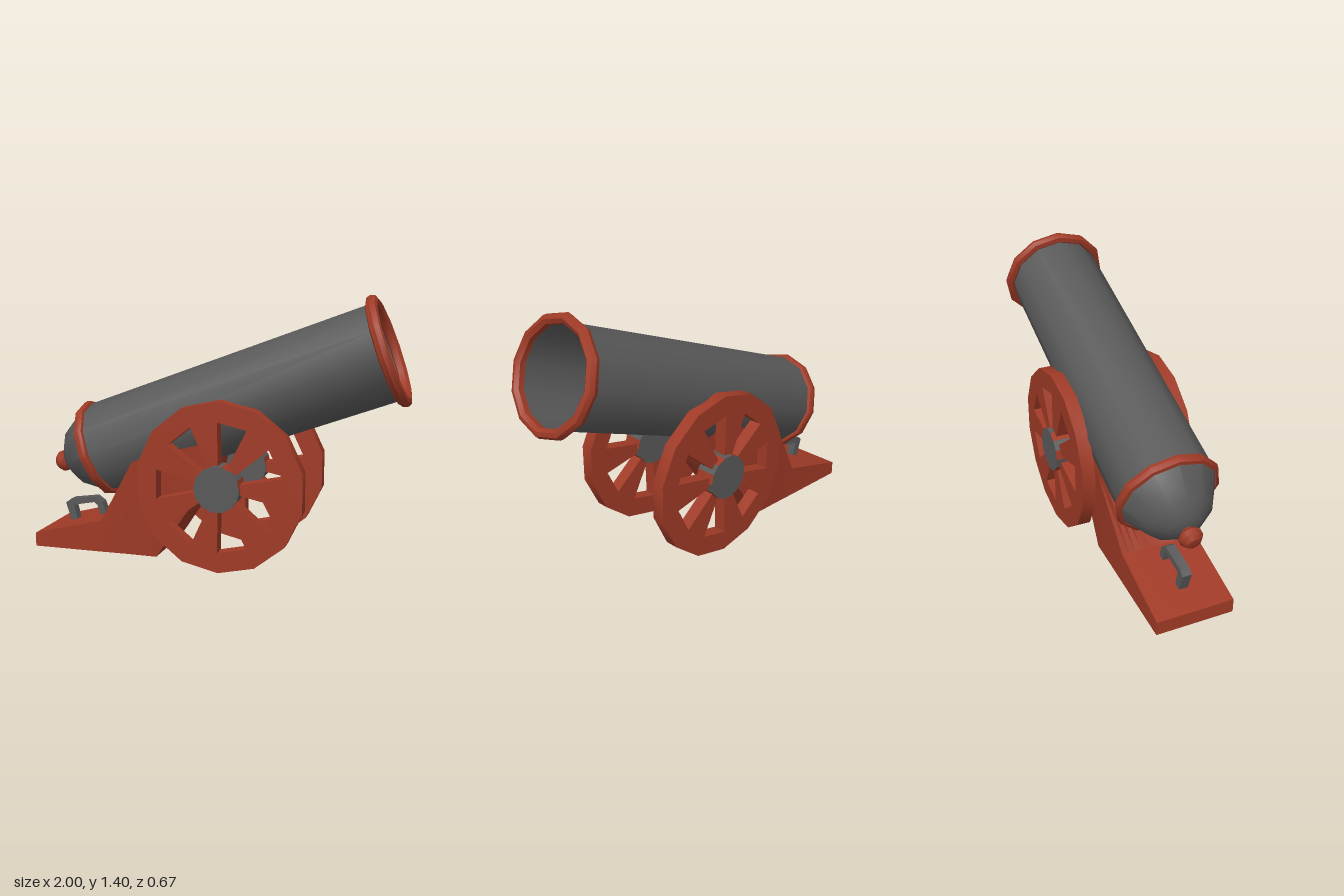
import * as THREE from 'three';
import { toCreasedNormals } from 'three/addons/utils/BufferGeometryUtils.js';

const red = new THREE.MeshStandardMaterial({ color: 0x9f3a26, side: THREE.DoubleSide });
const grey = new THREE.MeshStandardMaterial({ color: 0x595959, side: THREE.DoubleSide });

const TILT = 0.356; // barrel elevation
const BREECH = new THREE.Vector2(-0.665, 0.555); // barrel axis at the rear ring
const BORE = 0.252;

function part(parent, name, geometry, material, crease = 0.6) {
  const mesh = new THREE.Mesh(toCreasedNormals(geometry, crease), material);
  mesh.name = name;
  parent.add(mesh);
  return mesh;
}

function lathe(points) {
  return new THREE.LatheGeometry(points.map(([r, t]) => new THREE.Vector2(r, t)), 12);
}

function polygon(points) {
  return points.map(([x, y]) => new THREE.Vector2(x, y));
}

// Tilted tube with breech, knob and two bands; local y runs along the bore
function createBarrel() {
  const barrel = new THREE.Group();
  barrel.name = 'barrel';
  part(barrel, 'barrelTube', lathe([[BORE, 0], [BORE, 1.65]]), grey);
  part(barrel, 'breech', lathe([[0, -0.235], [0.085, -0.215], [0.165, -0.157], [BORE, -0.015], [BORE, 0]]), grey);
  part(barrel, 'rearBand', lathe([[0.25, -0.03], [0.268, -0.025], [0.274, 0], [0.268, 0.018], [0.25, 0.022]]), red);
  part(barrel, 'muzzleRing', lathe([
    [0.242, 1.635], [0.262, 1.62], [0.285, 1.627], [0.294, 1.65],
    [0.284, 1.674], [0.262, 1.68], [0.242, 1.665], [0.242, 1.635],
  ]), red);
  part(barrel, 'knob', lathe([
    [0.03, -0.21], [0.035, -0.232], [0.058, -0.25], [0.058, -0.275], [0.035, -0.302], [0, -0.308],
  ]), red);
  barrel.position.set(BREECH.x, BREECH.y, 0);
  barrel.rotation.z = TILT - Math.PI / 2;
  return barrel;
}

// Wooden bed lofted along x; its top is hollowed to cradle the barrel
function carriageGeometry() {
  // top x, top y, top half width, bottom x, bottom y
  const stations = [
    [-1, 0.09, 0.205, -1, 0.015],
    [-0.6, 0.195, 0.205, -0.6, 0.018],
    [-0.4, 0.54, 0.245, -0.45, 0.02],
    [-0.3, 0.575, 0.245, -0.285, 0.02],
    [-0.1, 0.63, 0.225, -0.16, 0.21],
    [0.03, 0.66, 0.205, -0.03, 0.4],
  ];
  const n = 12, ring = 2 * (n + 1);
  const positions = [], index = [];
  const quad = (a, b, c, d) => index.push(a, b, c, a, c, d);
  for (const [tx, ty, w, bx, by] of stations) {
    const axisY = BREECH.y + (tx - BREECH.x) * Math.tan(TILT);
    for (let j = 0; j <= n; j++) {
      const z = w * (1 - 2 * j / n);
      const under = axisY - Math.sqrt(BORE * BORE - z * z) / Math.cos(TILT);
      positions.push(tx, Math.min(ty, under), z);
    }
    for (let j = n; j >= 0; j--) positions.push(bx, by, 0.205 * (1 - 2 * j / n));
  }
  for (let i = 0; i < stations.length - 1; i++) {
    for (let k = 0; k < ring; k++) {
      const a = i * ring + k, b = i * ring + (k + 1) % ring;
      quad(a, a + ring, b + ring, b);
    }
  }
  const last = (stations.length - 1) * ring;
  for (let j = 0; j < n; j++) {
    const low = ring - 1 - j;
    quad(j, j + 1, low - 1, low);
    quad(last + j, last + low, last + low - 1, last + j + 1);
  }
  const geometry = new THREE.BufferGeometry();
  geometry.setAttribute('position', new THREE.Float32BufferAttribute(positions, 3));
  geometry.setIndex(index);
  return geometry;
}

// Fourteen-sided wheel with seven wedge spokes and a banded hub; outer side faces +z
function createWheel(name) {
  const wheel = new THREE.Group();
  wheel.name = name;
  const rim = new THREE.Shape();
  const step = Math.PI / 7;
  rim.setFromPoints(Array.from({ length: 14 }, (_, i) =>
    new THREE.Vector2(0.443 * Math.sin(i * step), 0.443 * Math.cos(i * step))));
  for (let i = 0; i < 7; i++) {
    const angle = Math.PI + i * 2 * step;
    const corners = polygon([[0.105, -0.022], [0.328, -0.078], [0.328, 0.078], [0.105, 0.022]]);
    corners.forEach((p) => p.rotateAround(new THREE.Vector2(), angle));
    rim.holes.push(new THREE.Path(corners));
  }
  const disc = new THREE.ExtrudeGeometry(rim, { depth: 0.07, bevelEnabled: false });
  disc.translate(0, 0, -0.035);
  part(wheel, 'rimAndSpokes', disc, red);

  for (const z of [-0.05, 0.06]) {
    const cap = part(wheel, 'hubCap', new THREE.CircleGeometry(0.12, 14), grey);
    cap.position.z = z;
    if (z < 0) cap.rotation.y = Math.PI;
  }
  for (let i = 0; i < 14; i++) {
    const side = new THREE.CylinderGeometry(0.12, 0.12, 0.11, 1, 1, true, (i + 0.5) * step, step);
    side.rotateX(Math.PI / 2);
    side.translate(0, 0, 0.005);
    part(wheel, 'hubSide', side, i % 2 ? red : grey);
  }
  return wheel;
}

export function createModel() {
  const model = new THREE.Group();
  model.name = 'cannon';
  model.add(createBarrel());
  part(model, 'carriage', carriageGeometry(), red, 0.35);

  // Lifting handle on the trail
  const arch = new THREE.Shape(polygon([
    [-0.865, 0.11], [-0.9, 0.225], [-0.865, 0.25], [-0.715, 0.273], [-0.675, 0.245], [-0.645, 0.165],
    [-0.69, 0.165], [-0.705, 0.225], [-0.725, 0.24], [-0.85, 0.215], [-0.828, 0.12],
  ]));
  const handle = new THREE.ExtrudeGeometry(arch, { depth: 0.05, bevelEnabled: false });
  handle.translate(0, 0, -0.025);
  part(model, 'handle', handle, grey);

  // Wheels on both sides
  for (const side of [1, -1]) {
    const wheel = createWheel(side > 0 ? 'leftWheel' : 'rightWheel');
    wheel.position.set(0.088, 0.447, side * 0.276);
    wheel.scale.z = side;
    model.add(wheel);
  }
  return model;
}
